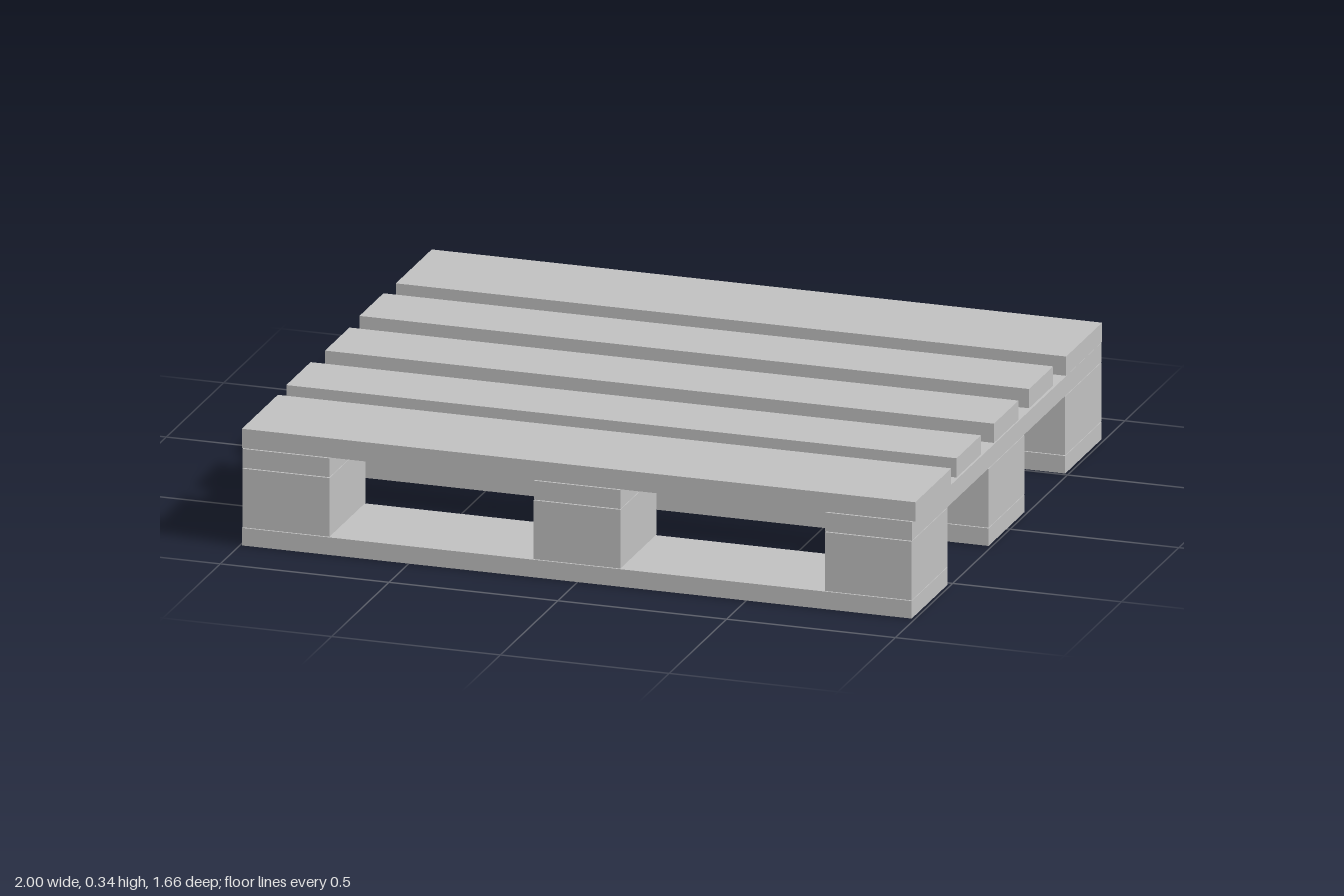
import * as THREE from 'three';

export function createModel() {
  const group = new THREE.Group();
  const wood = new THREE.MeshStandardMaterial({ color: 0xc0c0c0 });
  wood.name = 'plain grey';

  // Box given by its extents on each axis
  function slab(name, [x0, x1], [y0, y1], [z0, z1]) {
    const mesh = new THREE.Mesh(new THREE.BoxGeometry(x1 - x0, y1 - y0, z1 - z0), wood);
    mesh.position.set((x0 + x1) / 2, (y0 + y1) / 2, (z0 + z1) / 2);
    mesh.name = name;
    group.add(mesh);
  }

  const columns = [[-0.993, -0.735], [-0.13, 0.127], [0.733, 0.99]];
  const rows = [[-0.825, -0.51], [-0.153, 0.158], [0.514, 0.828]];

  // Top deck: wide outer boards, narrow inner boards, each slightly offset in x
  const deck = [
    [-0.828, -0.515, -0.995, 0.991],
    [-0.422, -0.213, -1, 0.984],
    [-0.108, 0.105, -0.994, 0.988],
    [0.213, 0.425, -1, 0.986],
    [0.513, 0.826, -0.995, 1],
  ];
  deck.forEach(([z0, z1, x0, x1], i) => slab(`deckBoard${i + 1}`, [x0, x1], [0.288, 0.345], [z0, z1]));

  // Cross boards running front to back under the deck
  columns.forEach((x, i) => slab(`crossBoard${i + 1}`, x, [0.23, 0.286], [-0.827, 0.827]));

  // Nine spacer blocks
  rows.forEach((z, r) => columns.forEach((x, c) => slab(`block${r * 3 + c + 1}`, x, [0.054, 0.228], z)));

  // Bottom runners
  rows.forEach((z, i) => slab(`runner${i + 1}`, [-0.994, 0.99], [0, 0.052], z));

  return group;
}
